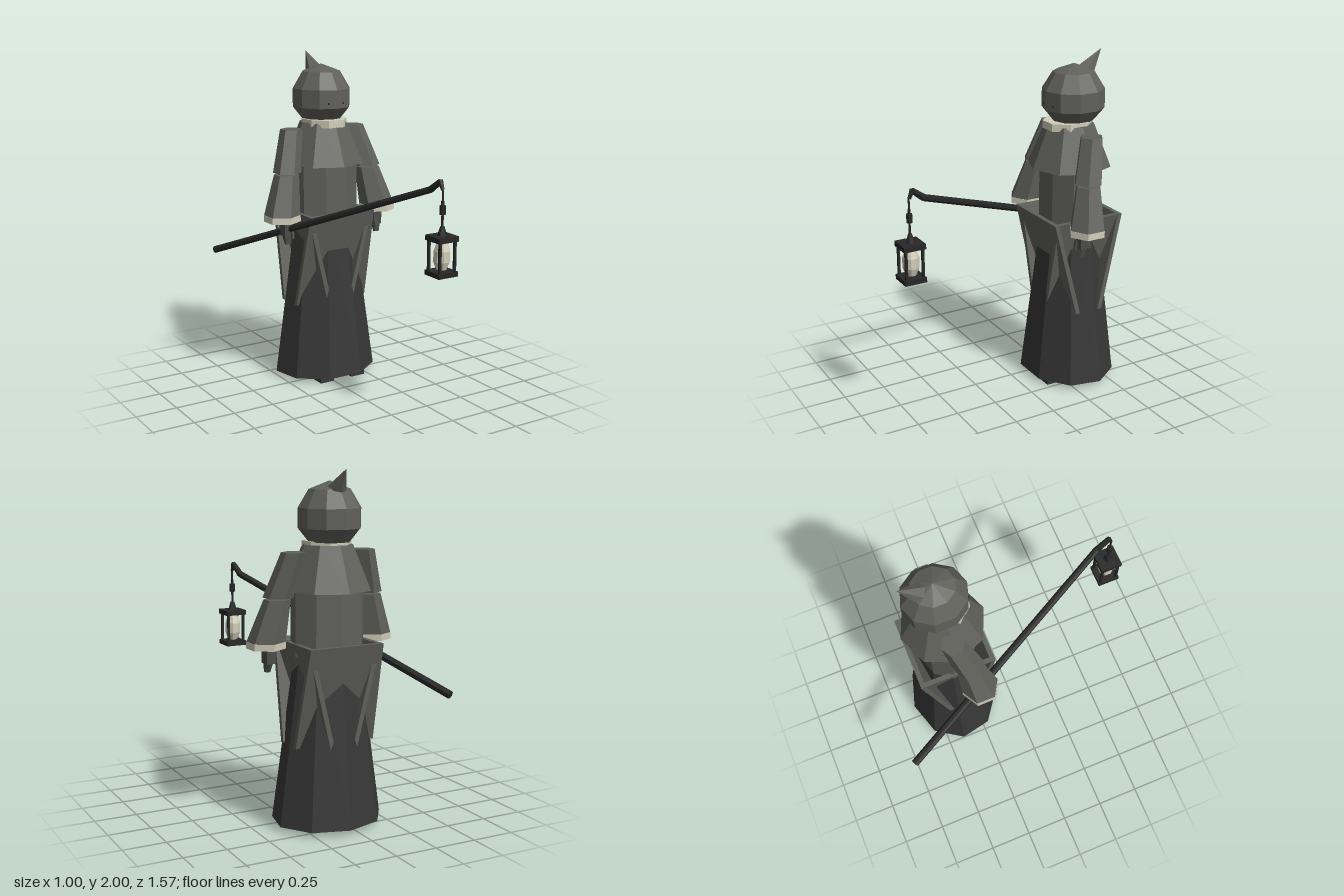
import * as THREE from 'three';

const flat = (name, color) => {
  const m = new THREE.MeshStandardMaterial({ color, flatShading: true });
  m.name = name;
  return m;
};

export function createModel() {
  const cloth = flat('grey cloth', 0x60605b);
  const skirtCloth = flat('dark skirt cloth', 0x373737);
  const iron = flat('black iron', 0x272727);
  const cream = flat('cream trim', 0xd2ceb8);
  const skin = flat('shadowed skin', 0x4c4c49);
  const CX = 0.065, CZ = -0.355; // body axis
  const root = new THREE.Group();
  root.name = 'hoodedLanternBearer';

  const add = (name, geo, mat, parent = root) => {
    const mesh = new THREE.Mesh(geo, mat);
    mesh.name = name;
    parent.add(mesh);
    return mesh;
  };
  // faceted ring stack: profile of [radius, y] from bottom to top
  const turned = (profile, sides, start, sx, sz, x, z) =>
    new THREE.LatheGeometry(profile.map(p => new THREE.Vector2(p[0], p[1])), sides, start)
      .scale(sx, 1, sz).translate(x, 0, z);
  // straight tapered rod from a to b
  const rod = (a, b, ra, rb, sides) => {
    const A = new THREE.Vector3(...a), B = new THREE.Vector3(...b), d = B.clone().sub(A);
    const q = new THREE.Quaternion().setFromUnitVectors(new THREE.Vector3(0, 1, 0), d.clone().normalize());
    const mid = A.add(B).multiplyScalar(0.5);
    return new THREE.CylinderGeometry(rb, ra, d.length(), sides).applyQuaternion(q).translate(mid.x, mid.y, mid.z);
  };
  // leaning prism with level ends, used for the sleeves
  const leaning = (a, b, ra, rb, sides, open = false) => {
    const h = b[1] - a[1];
    const g = new THREE.CylinderGeometry(rb, ra, h, sides, 1, open);
    const p = g.attributes.position;
    for (let i = 0; i < p.count; i++) {
      const t = p.getY(i) / h + 0.5;
      p.setXYZ(i, p.getX(i) + a[0] + (b[0] - a[0]) * t, a[1] + h * t, p.getZ(i) + a[2] + (b[2] - a[2]) * t);
    }
    return g;
  };
  const box = (w, h, d, x, y, z) => new THREE.BoxGeometry(w, h, d).translate(x, y, z);

  // robe: nine-sided skirt, torso and shoulder cape
  add('skirt', turned([[0, 0.03], [0.325, 0.03], [0.183, 1.05], [0, 1.05]], 9, Math.PI, 1, 0.85, CX, CZ), skirtCloth);
  add('torso', turned([[0, 0.98], [0.218, 0.98], [0.215, 1.4], [0.12, 1.56], [0, 1.56]], 9, Math.PI, 1, 0.78, CX, CZ), cloth);
  add('cape', turned([[0, 1.34], [0.248, 1.34], [0.145, 1.59], [0, 1.59]], 8, 0, 1, 1, CX, CZ), cloth);
  add('collar', turned([[0, 1.565], [0.15, 1.565], [0.15, 1.61], [0, 1.61]], 8, Math.PI / 8, 0.9, 1, CX, -0.34), cream);

  // overskirt: four slabs that lean inward and sink into the skirt
  const slab = (name, halfTop, halfLow, out, turn) => {
    const g = new THREE.BoxGeometry(2, 0.575, 0.028);
    const p = g.attributes.position;
    for (let i = 0; i < p.count; i++) {
      const top = p.getY(i) > 0;
      p.setX(i, p.getX(i) * (top ? halfTop : halfLow));
      p.setZ(i, p.getZ(i) + out - 0.014 - (top ? 0 : 0.14));
    }
    add(name, g.rotateY(turn).translate(CX, 0.767, CZ), cloth);
  };
  slab('overskirtFront', 0.225, 0.246, 0.228, 0);
  slab('overskirtBack', 0.225, 0.246, 0.232, Math.PI);
  slab('overskirtLeft', 0.205, 0.197, 0.224, Math.PI / 2);
  slab('overskirtRight', 0.205, 0.197, 0.224, -Math.PI / 2);

  // hood with a low crown and a bent back peak
  add('hood', turned([[0, 1.605], [0.115, 1.605], [0.174, 1.68], [0.174, 1.79], [0.115, 1.89], [0, 1.935]],
    10, 0, 1, 1.07, CX, -0.375), cloth);
  add('hoodPeak', rod([CX, 1.845, -0.42], [CX, 2.0, -0.558], 0.075, 0.001, 6), cloth);

  for (const s of [1, -1]) {
    const side = new THREE.Group();
    side.name = s > 0 ? 'leftArm' : 'rightArm';
    root.add(side);
    const at = (x, y, z) => [CX + s * x, y, z];

    // sleeve in two pieces with a cream cuff
    add('upperSleeve', leaning(at(0.28, 1.305, -0.305), at(0.215, 1.555, -0.365), 0.085, 0.068, 6), cloth, side);
    add('lowerSleeve', leaning(at(0.337, 1.06, -0.27), at(0.285, 1.295, -0.305), 0.108, 0.075, 6), cloth, side);
    add('cuff', leaning(at(0.338, 1.022, -0.268), at(0.337, 1.06, -0.27), 0.11, 0.11, 6), cream, side);

    // hand: palm, fingers and thumb
    add('palm', box(0.055, 0.1, 0.07, ...at(0.317, 0.985, -0.26)), skin, side);
    add('fingers', rod(at(0.317, 0.95, -0.255), at(0.317, 0.885, -0.24), 0.03, 0.018, 6), skin, side);
    add('thumb', rod(at(0.295, 0.98, -0.23), at(0.295, 0.92, -0.215), 0.014, 0.01, 5), skin, side);

    // eyes and shoes
    add('eye', box(0.008, 0.012, 0.008, ...at(0.05, 1.71, -0.207)), iron, side);
    add('shoe', box(0.095, 0.04, 0.195, ...at(0.11, 0.02, -0.227)), skirtCloth, side);
  }

  // staff with a hooked tip
  const bend = [0.152, 1.322, 0.63], tip = [0.163, 1.378, 0.702];
  add('staff', rod([-0.48, 0.767, -0.772], bend, 0.023, 0.02, 8), iron);
  add('staffNeck', rod(bend, tip, 0.02, 0.016, 8), iron);
  add('staffHook', rod([0.163, 1.385, 0.7], [0.165, 1.335, 0.722], 0.016, 0.01, 6), iron);

  // hanging lantern
  const lantern = new THREE.Group();
  lantern.name = 'lantern';
  lantern.position.set(0.165, 0, 0.725);
  root.add(lantern);
  for (const [low, high, r] of [[1.27, 1.335, 0.006], [1.25, 1.275, 0.009], [1.2, 1.25, 0.018], [1.12, 1.205, 0.007]])
    add('chainLink', rod([0, low, 0], [0, high, 0], r, r, 6), iron, lantern);
  add('lanternCap', rod([0, 1.08, 0], [0, 1.135, 0], 0.028, 0.012, 6), iron, lantern);
  add('lanternRoof', box(0.13, 0.03, 0.13, 0, 1.07, 0), iron, lantern);
  add('lanternBase', box(0.13, 0.028, 0.13, 0, 0.874, 0), iron, lantern);
  for (const x of [-1, 1]) for (const z of [-1, 1])
    add('lanternPost', box(0.014, 0.18, 0.014, x * 0.05, 0.97, z * 0.05), iron, lantern);
  add('lanternGlass', turned([[0, 0.885], [0.03, 0.895], [0.047, 0.94], [0.047, 1.0], [0.03, 1.045], [0, 1.056]],
    8, Math.PI / 8, 1, 1, 0, 0), cream, lantern);

  return root;
}
